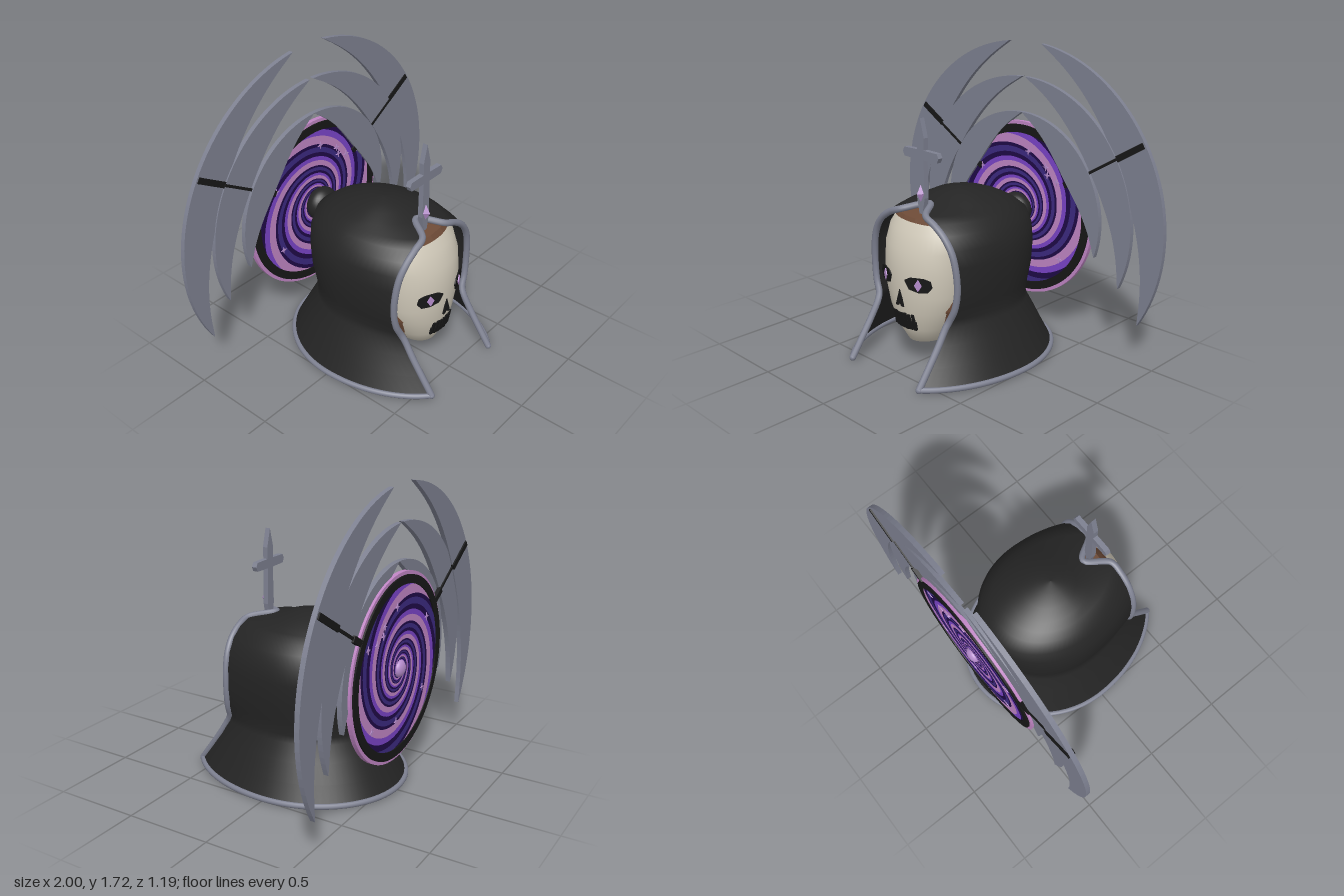
import * as THREE from 'three';

const mat = (name, color, side = THREE.FrontSide) => {
  const m = new THREE.MeshStandardMaterial({ color, side });
  m.name = name;
  return m;
};

// Grid surface from rows of [x, y, z] points
function loft(rows) {
  const n = rows[0].length, idx = [];
  for (let j = 0; j < rows.length - 1; j++)
    for (let i = 0; i < n - 1; i++) {
      const a = j * n + i, b = a + n;
      idx.push(a, a + 1, b, a + 1, b + 1, b);
    }
  const g = new THREE.BufferGeometry();
  g.setAttribute('position', new THREE.Float32BufferAttribute(rows.flat(2), 3));
  g.setIndex(idx);
  g.computeVertexNormals();
  return g;
}

const polygon = (pts) => new THREE.Shape(pts.map(([x, y]) => new THREE.Vector2(x, y)));
const plate = (shape, depth) => new THREE.ExtrudeGeometry(shape, { depth, bevelEnabled: false, curveSegments: 48 });
const diamond = (w, h) => polygon([[0, -h], [w, 0], [0, h], [-w, 0]]);

export function createModel() {
  const model = new THREE.Group();
  const D = THREE.DoubleSide;
  const cloth = mat('black cloth', 0x242424, D);
  const ink = mat('black detail', 0x171717);
  const metal = mat('grey metal', 0x7d8090);
  const bone = mat('bone', 0xcfc8b8, D);
  const brown = mat('brown', 0x6e4b37, D);
  const deep = mat('deep purple', 0x1f0a47);
  const indigo = mat('indigo', 0x3c2a80, D);
  const violet = mat('violet', 0x7a44c8, D);
  const pink = mat('pink', 0xc085c4, D);
  const lilac = mat('lilac gem', 0xb58ccb);

  const add = (name, geo, material, x = 0, y = 0, z = 0, parent = model) => {
    const m = new THREE.Mesh(geo, material);
    m.name = name;
    m.position.set(x, y, z);
    parent.add(m);
    return m;
  };

  // Hood levels: y, half width, back z, opening half width, opening z
  const hoodLevels = [
    [0.02, 0.51, -0.57, 0.275, 0.582], [0.12, 0.46, -0.515, 0.275, 0.51], [0.22, 0.415, -0.46, 0.275, 0.44],
    [0.31, 0.37, -0.41, 0.275, 0.385], [0.35, 0.36, -0.405, 0.285, 0.365], [0.42, 0.367, -0.42, 0.315, 0.355],
    [0.52, 0.383, -0.44, 0.33, 0.35], [0.65, 0.39, -0.447, 0.322, 0.355], [0.74, 0.375, -0.445, 0.295, 0.36],
    [0.81, 0.34, -0.425, 0.245, 0.365], [0.86, 0.295, -0.36, 0.175, 0.365], [0.89, 0.25, -0.305, 0.1, 0.355],
    [0.915, 0.205, -0.25, 0, 0.23], [0.945, 0.14, -0.165, 0, 0.14], [0.965, 0.07, -0.08, 0, 0.07], [0.973, 0, 0, 0, 0],
  ];
  const hoodRows = hoodLevels.map(([y, w, zb, xe, ze]) => {
    const start = w ? Math.asin(xe / w) : 0;
    const zf = ze / Math.cos(start);
    return Array.from({ length: 65 }, (_, i) => {
      const a = start + (i / 64) * 2 * (Math.PI - start);
      const c = Math.cos(a);
      return [w * Math.sin(a), y, c * (c > 0 ? zf : -zb)];
    });
  });
  add('hood', loft(hoodRows), cloth);

  // Piping around the face opening and the hem
  const tube = (pts, r, n) =>
    new THREE.TubeGeometry(new THREE.CatmullRomCurve3(pts.map((p) => new THREE.Vector3(...p))), n, r, 10);
  const openRows = hoodRows.slice(0, 13);
  const edge = [...openRows.map((r) => r[0]), ...openRows.slice(0, 12).reverse().map((r) => r[64])];
  add('openingTrim', tube(edge, 0.019, 140), metal);
  add('hemTrim', tube(hoodRows[0], 0.016, 120), metal);
  for (const i of [0, 64]) add('trimEnd', new THREE.SphereGeometry(0.019, 10, 8), metal, ...hoodRows[0][i]);

  // Head levels: y, half width, front z, back z
  const headLevels = [
    [0.15, 0.1, 0.37, 0.12], [0.24, 0.165, 0.42, -0.04], [0.35, 0.218, 0.447, -0.15], [0.45, 0.248, 0.457, -0.2],
    [0.58, 0.26, 0.463, -0.24], [0.7, 0.262, 0.447, -0.24], [0.79, 0.25, 0.405, -0.22], [0.84, 0.22, 0.37, -0.18],
  ];
  const faceMid = 0.25;
  const faceRows = headLevels.map(([y, w, zf]) =>
    Array.from({ length: 25 }, (_, i) => {
      const a = (i / 24 - 0.5) * Math.PI;
      return [w * Math.sin(a), y, faceMid + (zf - faceMid) * Math.cos(a)];
    }));
  const chin = faceRows[0].map(() => [0, 0.15, faceMid]);
  add('faceMask', loft([chin, ...faceRows]), bone);
  const headRows = headLevels.map(([y, w, zf, zb]) =>
    Array.from({ length: 15 }, (_, i) => {
      const a = (i / 14) * Math.PI * 2, c = Math.cos(a), k = y < 0.4 ? 1.08 : 0.99;
      const front = zf - faceMid - 0.035;
      return [w * k * Math.sin(a), y + 0.01, faceMid + c * (c > 0 ? front : faceMid - zb)];
    }));
  const cap = (y, z) => headRows[0].map(() => [0, y, z]);
  const headGeo = loft([cap(0.155, 0.2), ...headRows, cap(0.88, 0.12)]).toNonIndexed();
  headGeo.computeVertexNormals();
  add('head', headGeo, brown);

  // Height of the mask surface at a point
  const faceZ = (x, y) => {
    let j = 0;
    while (j < headLevels.length - 2 && headLevels[j + 1][0] < y) j++;
    const [a, b] = [headLevels[j], headLevels[j + 1]];
    const t = (y - a[0]) / (b[0] - a[0]);
    const w = a[1] + (b[1] - a[1]) * t, zf = a[2] + (b[2] - a[2]) * t;
    return faceMid + (zf - faceMid) * Math.sqrt(Math.max(0, 1 - (x / w) ** 2));
  };

  // Eyes
  for (const s of [-1, 1]) {
    const eye = new THREE.Group();
    eye.name = 'eye';
    eye.position.set(s * 0.125, 0.53, faceZ(0.125, 0.53) + 0.002);
    eye.rotation.y = s * 0.42;
    model.add(eye);
    const socket = polygon([[-0.08, 0.022], [-0.055, -0.028], [0, -0.042], [0.055, -0.036], [0.08, -0.005], [0.07, 0.03], [0.03, 0.04], [-0.05, 0.038]]
      .map(([x, y]) => [x * s, y]));
    add('eyeSocket', plate(socket, 0.008), ink, 0, 0, 0, eye);
    add('pupil', plate(diamond(0.022, 0.034), 0.006), lilac, 0, 0, 0.008, eye);
  }
  // Nose and teeth
  add('nose', plate(polygon([[0, 0.48], [-0.03, 0.385], [-0.012, 0.385], [0, 0.405], [0.012, 0.385], [0.03, 0.385]]), 0.009), ink, 0, 0, 0.455);
  for (let i = -3; i <= 3; i++) {
    const x = i * 0.0235;
    const tooth = add('tooth', new THREE.BoxGeometry(0.016, 0.09 + 0.008 * (i % 2), 0.012), ink, x, 0.295, faceZ(x, 0.295) + 0.004);
    tooth.rotation.x = 0.2;
    const lip = add('lip', new THREE.BoxGeometry(0.026, 0.05, 0.012), ink, x, 0.272, faceZ(x, 0.272) + 0.003);
    lip.rotation.x = 0.2;
  }

  // Crest cross with its gem
  const crossHalf = [[0.012, 0.87], [0.03, 0.96], [0.024, 1.17], [0.125, 1.172], [0.138, 1.198], [0.125, 1.222], [0.026, 1.224], [0.028, 1.29]];
  const mirrored = crossHalf.map(([x, y]) => [-x, y]).reverse();
  add('crestCross', plate(polygon([...crossHalf, [0, 1.395], ...mirrored]), 0.03), metal, 0, 0, 0.266);
  const gem = add('crestGem', new THREE.OctahedronGeometry(1), lilac, 0, 0.985, 0.295);
  gem.scale.set(0.025, 0.05, 0.03);

  // Halo, centred on the disc axis
  const halo = new THREE.Group();
  halo.name = 'halo';
  halo.position.y = 0.725;
  model.add(halo);
  const ring = (name, r0, r1, z0, z1, m) => {
    const s = new THREE.Shape().absarc(0, 0, r1, 0, Math.PI * 2);
    s.holes.push(new THREE.Path().absarc(0, 0, r0, 0, Math.PI * 2, true));
    add(name, plate(s, z1 - z0), m, 0, 0, z0, halo);
  };
  const disc = new THREE.CylinderGeometry(0.48, 0.48, 0.028, 64).rotateX(Math.PI / 2);
  add('disc', disc, deep, 0, 0, -0.544, halo);
  ring('discRim', 0.462, 0.51, -0.566, -0.52, ink);
  ring('discOuterRing', 0.505, 0.53, -0.556, -0.53, pink);

  // Spiral arms on both faces of the disc
  const ARMS = 3, RATE = 0.22;
  const ribbon = (offset, lo, hi) => {
    const inner = [], outer = [];
    for (let i = 0; i <= 180; i++) {
      const t = (i / 180) * 12.5, r = 0.03 * Math.exp(RATE * t), a = t + offset;
      const at = (k) => {
        const q = Math.min(r * k, 0.463);
        return [q * Math.cos(a), q * Math.sin(a), 0];
      };
      inner.push(at(lo));
      outer.push(at(hi));
    }
    return loft([outer, inner]);
  };
  for (let k = 0; k < ARMS; k++)
    for (const [name, lo, hi, m] of [['pinkArm', 1, 1.14, pink], ['violetArm', 1.14, 1.25, violet], ['indigoArm', 1.36, 1.5, indigo]]) {
      const g = ribbon((k * Math.PI * 2) / ARMS + 0.5, lo, hi);
      for (const z of [-0.527, -0.561]) add(name, g, m, 0, 0, z, halo);
    }

  // Scattered stars
  const star = polygon(Array.from({ length: 8 }, (_, i) => {
    const r = i % 2 ? 0.007 : 0.024, a = (i * Math.PI) / 4;
    return [r * Math.cos(a), r * Math.sin(a)];
  }));
  for (const [r, deg] of [[0.36, 82], [0.34, 57], [0.31, 50], [0.34, 38], [0.38, 147], [0.42, 30], [0.36, 215], [0.4, 320], [0.3, 275]]) {
    const a = (deg * Math.PI) / 180;
    for (const z of [-0.528, -0.565]) add('star', plate(star, 0.005), lilac, r * Math.cos(a), r * Math.sin(a), z, halo);
  }
  add('hub', new THREE.SphereGeometry(0.048, 24, 16), lilac, 0, 0, -0.562, halo).scale.z = 0.6;
  add('mount', new THREE.SphereGeometry(0.105, 28, 20), cloth, 0, 0, -0.48, halo).scale.z = 0.75;

  // Crescent blades: radius, start and end angle, width, back z, depth
  const blades = [[1, 97, 210.5, 0.22, -0.559, 0.027], [0.795, 91, 204, 0.2, -0.552, 0.028], [0.588, 90, 197.5, 0.18, -0.542, 0.028]];
  for (const s of [-1, 1]) {
    for (const [r, a0, a1, w, z, d] of blades) {
      const arc = (inner) => Array.from({ length: 41 }, (_, i) => {
        const t = i / 40, a = ((a0 + (a1 - a0) * t) * Math.PI) / 180;
        const q = r - (inner ? w * Math.pow(Math.max(0, Math.sin(Math.PI * t)), 0.88) : 0);
        return [-s * q * Math.cos(a), q * Math.sin(a)];
      });
      add('blade', plate(polygon([...arc(false), ...arc(true).slice(1, -1).reverse()]), d), metal, 0, 0, z, halo);
    }
    // Radial struts tying the blades together
    for (const [r0, r1, w, z, d] of [[0.78, 0.99, 0.035, -0.547, 0.042], [0.57, 0.8, 0.016, -0.54, 0.04], [0.385, 0.43, 0.035, -0.533, 0.032], [0.49, 0.6, 0.035, -0.55, 0.03]]) {
      const a = 0.555, r = (r0 + r1) / 2;
      const strut = add('strut', new THREE.BoxGeometry(r1 - r0, w, d), ink, s * r * Math.cos(a), r * Math.sin(a), z, halo);
      strut.rotation.z = s * a;
    }
  }
  return model;
}
